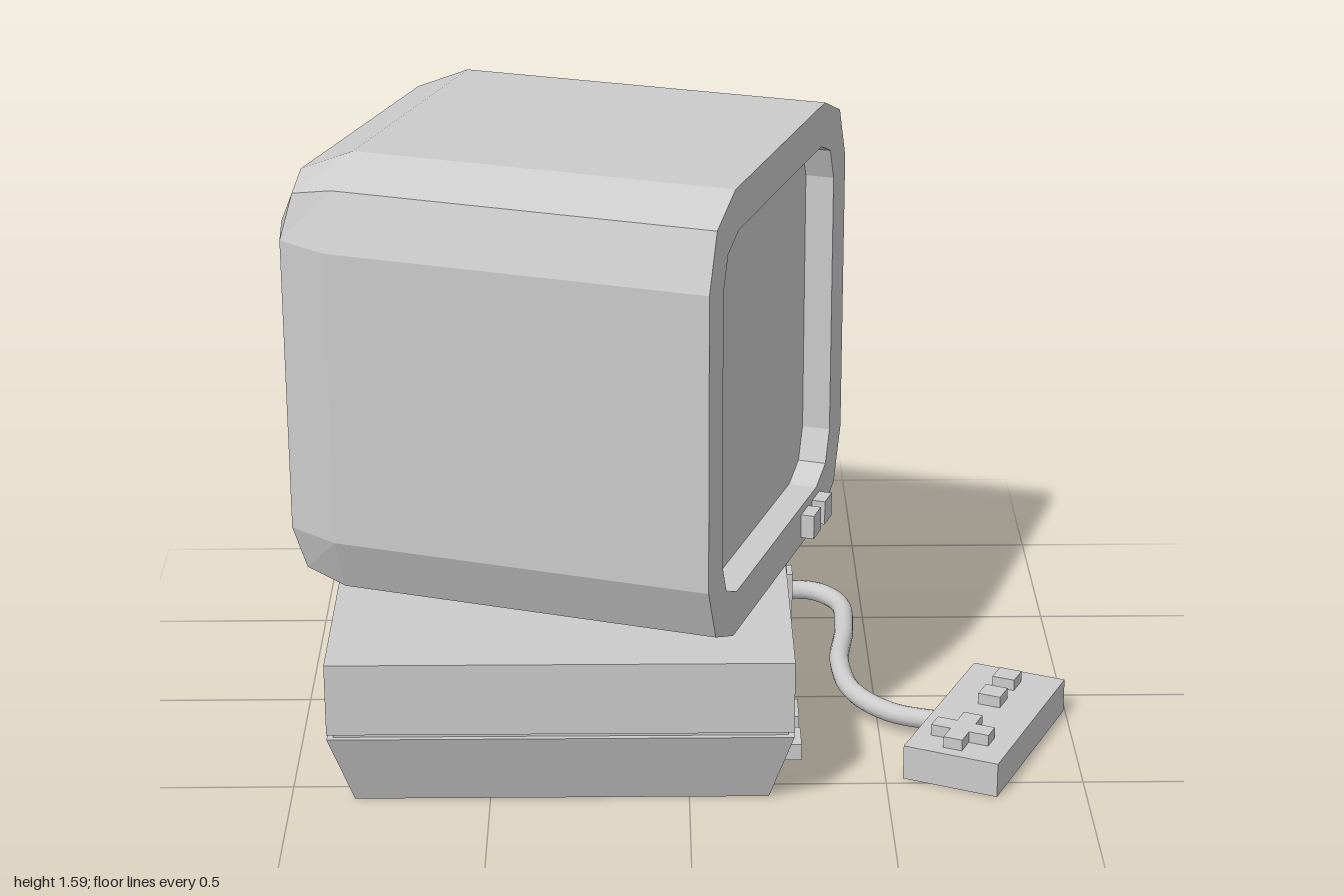
import * as THREE from 'three';

const grey = new THREE.MeshStandardMaterial({ color: 0xcccccc, flatShading: true });
const smooth = new THREE.MeshStandardMaterial({ color: 0xcccccc });

function add(parent, name, geometry, x = 0, y = 0, z = 0, material = grey) {
  const mesh = new THREE.Mesh(geometry, material);
  mesh.name = name;
  mesh.position.set(x, y, z);
  parent.add(mesh);
  return mesh;
}

// Box given by its lower and upper limits on each axis
function block(parent, name, [x0, x1], [y0, y1], [z0, z1]) {
  return add(parent, name, new THREE.BoxGeometry(x1 - x0, y1 - y0, z1 - z0),
    (x0 + x1) / 2, (y0 + y1) / 2, (z0 + z1) / 2);
}

// Square ring with two-segment round corners; c = 0, 1, 2 steps round the back bevel
function ring(half, r, z, c = 0) {
  const points = [];
  for (let k = 0; k < 4; k++) {
    for (const [a, b] of [[1, 0], [1, 1], [0, 1]]) {
      const dir = c === 2 ? new THREE.Vector3(0, 0, -1) : new THREE.Vector3(a, b, -c).normalize();
      const p = dir.multiplyScalar(r).add(new THREE.Vector3(half - r, half - r, z));
      points.push(p.applyAxisAngle(new THREE.Vector3(0, 0, 1), k * Math.PI / 2));
    }
  }
  return points;
}

const centre = z => Array.from({ length: 12 }, () => new THREE.Vector3(0, 0, z));

// Skin a list of rings, leaving out collapsed triangles
function loft(rings) {
  const pos = [];
  const tri = (a, b, c) => {
    if (a.distanceTo(b) < 1e-5 || b.distanceTo(c) < 1e-5 || a.distanceTo(c) < 1e-5) return;
    for (const p of [a, b, c]) pos.push(p.x, p.y, p.z);
  };
  for (let k = 0; k + 1 < rings.length; k++) {
    const A = rings[k], B = rings[k + 1];
    for (let i = 0; i < A.length; i++) {
      const j = (i + 1) % A.length;
      tri(A[i], B[i], B[j]);
      tri(A[i], B[j], A[j]);
    }
  }
  const g = new THREE.BufferGeometry();
  g.setAttribute('position', new THREE.Float32BufferAttribute(pos, 3));
  g.computeVertexNormals();
  return g;
}

function buildTelevision() {
  const tv = new THREE.Group();
  tv.name = 'television';
  const half = 0.581, r = 0.2, depth = 1.18, recess = 0.075;
  const inner = z => ring(0.472, 0.12, z);
  // Recess wall, front frame, sides, bevelled back
  add(tv, 'televisionHousing', loft([
    inner(-recess), inner(0), ring(half, r, 0), ring(half, r, r - depth),
    ring(half, r, r - depth, 1), ring(half, r, r - depth, 2), centre(-depth),
  ]));
  add(tv, 'screen', loft([centre(-recess), inner(-recess)]));
  for (const x of [0.212, 0.315])
    block(tv, 'televisionButton', [x, x + 0.066], [-0.56, -0.495], [-0.02, 0.035]);
  tv.position.set(0.233, 1.006, 0.162);
  tv.rotation.y = THREE.MathUtils.degToRad(71);
  return tv;
}

function buildConsole() {
  const base = new THREE.Group();
  base.name = 'console';
  block(base, 'consoleTop', [-0.9, 0.26], [0.21, 0.4], [-0.7, 0.63]);
  block(base, 'consoleSeam', [-0.885, 0.245], [0.18, 0.22], [-0.685, 0.615]);

  // Lower half narrows towards the ground
  const lower = block(base, 'consoleBottom', [-0.9, 0.26], [0, 0.197], [-0.7, 0.63]);
  const p = lower.geometry.attributes.position;
  for (let i = 0; i < p.count; i++) {
    if (p.getY(i) > 0) continue;
    p.setX(i, p.getX(i) - Math.sign(p.getX(i)) * 0.06);
    p.setZ(i, p.getZ(i) - Math.sign(p.getZ(i)) * 0.065);
  }
  lower.geometry.computeVertexNormals();

  // Cable socket and side buttons
  block(base, 'socketPillar', [0.14, 0.28], [0.002, 0.402], [-0.52, -0.34]);
  block(base, 'socket', [0.26, 0.298], [0.04, 0.18], [-0.46, -0.395]);
  for (const z of [0.23, 0.39])
    block(base, 'consoleButton', [0.2, 0.285], [0.062, 0.106], [z, z + 0.1]);
  return base;
}

function buildController() {
  const pad = new THREE.Group();
  pad.name = 'controller';
  block(pad, 'controllerBody', [-0.126, 0.126], [0, 0.092], [-0.266, 0.266]);
  for (const z of [-0.179, -0.068])
    block(pad, 'controllerButton', [-0.035, 0.025], [0.08, 0.122], [z - 0.03, z + 0.03]);

  // Cross-shaped direction pad
  const w = 0.025, l = 0.077;
  const cross = new THREE.Shape([
    [w, w], [w, l], [-w, l], [-w, w], [-l, w], [-l, -w],
    [-w, -w], [-w, -l], [w, -l], [w, -w], [l, -w], [l, w],
  ].map(([x, y]) => new THREE.Vector2(x, y)));
  const g = new THREE.ExtrudeGeometry(cross, { depth: 0.042, bevelEnabled: false });
  g.rotateX(-Math.PI / 2);
  add(pad, 'directionPad', g, -0.007, 0.08, 0.156);

  pad.position.set(0.77, 0, 0.284);
  pad.rotation.y = -0.431;
  return pad;
}

function buildCable() {
  const path = new THREE.CatmullRomCurve3([
    [0.27, 0.113, -0.445], [0.36, 0.112, -0.435], [0.425, 0.104, -0.37], [0.432, 0.09, -0.24],
    [0.41, 0.076, -0.05], [0.44, 0.062, 0.1], [0.53, 0.05, 0.195], [0.68, 0.046, 0.25],
  ].map(q => new THREE.Vector3(...q)));
  return new THREE.TubeGeometry(path, 40, 0.026, 12);
}

export function createModel() {
  const model = new THREE.Group();
  model.name = 'televisionAndConsole';
  model.add(buildTelevision(), buildConsole(), buildController());
  add(model, 'cable', buildCable(), 0, 0, 0, smooth);
  return model;
}
